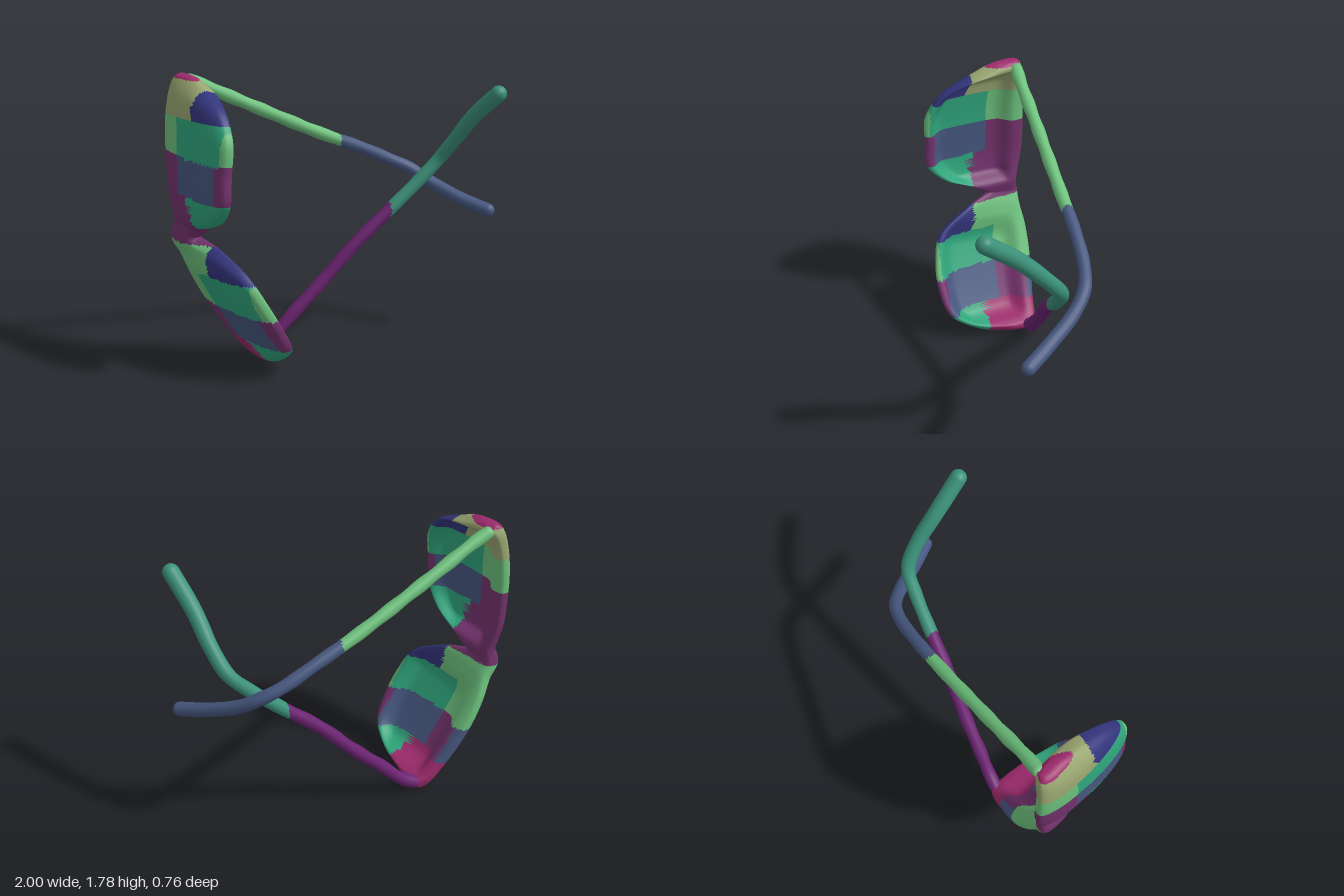
import * as THREE from 'three';

const GREEN = 0x6cc07c, SLATE = 0x46577f, PURPLE = 0x6a2270, TEAL = 0x3a9078;
const MINT = 0x2fa57c, INDIGO = 0x33357c, PLUM = 0x74336e, MAGENTA = 0x9c2a6c, TAN = 0x98a470;

const smooth = THREE.MathUtils.smoothstep;

// Splits a geometry into one mesh per colour, keeping its normals
function paint(geometry, name, colourAt) {
  const group = new THREE.Group();
  group.name = name;
  const g = geometry.toNonIndexed();
  const p = g.attributes.position, n = g.attributes.normal;
  const bins = new Map();
  for (let i = 0; i < p.count; i += 3) {
    const c = new THREE.Vector3();
    for (let k = 0; k < 3; k++) c.add(new THREE.Vector3().fromBufferAttribute(p, i + k));
    c.divideScalar(3);
    const colour = colourAt(c);
    if (!bins.has(colour)) bins.set(colour, { pos: [], nor: [] });
    const bin = bins.get(colour);
    for (let k = i; k < i + 3; k++) {
      bin.pos.push(p.getX(k), p.getY(k), p.getZ(k));
      bin.nor.push(n.getX(k), n.getY(k), n.getZ(k));
    }
  }
  let id = 1;
  for (const [color, bin] of bins) {
    const part = new THREE.BufferGeometry();
    part.setAttribute('position', new THREE.Float32BufferAttribute(bin.pos, 3));
    part.setAttribute('normal', new THREE.Float32BufferAttribute(bin.nor, 3));
    const mesh = new THREE.Mesh(part, new THREE.MeshStandardMaterial({ color }));
    mesh.name = `${name}Patch${id++}`;
    group.add(mesh);
  }
  return group;
}

// Both lenses and the bridge: sections lofted between a back and a front rim
function frontGeometry() {
  const curve = pts => new THREE.CatmullRomCurve3(pts.map(q => new THREE.Vector3(...q)));
  const back = curve([
    [-.86, 1.765, -.31], [-.9, 1.72, -.34], [-.935, 1.6, -.355], [-.95, 1.45, -.365],
    [-.95, 1.28, -.365], [-.945, 1.1, -.355], [-.93, .98, -.33], [-.92, .9, -.315],
    [-.94, .81, -.325], [-.895, .72, -.33], [-.84, .59, -.355], [-.77, .45, -.365],
    [-.68, .3, -.36], [-.585, .165, -.345], [-.49, .065, -.335], [-.425, .02, -.31]]);
  const front = curve([
    [-.84, 1.765, -.2], [-.82, 1.7, 0], [-.825, 1.6, .2], [-.83, 1.46, .295],
    [-.845, 1.28, .3], [-.855, 1.11, .295], [-.855, .99, .18], [-.88, .9, -.02],
    [-.91, .83, -.11], [-.82, .765, .06], [-.73, .65, .25], [-.645, .5, .3],
    [-.55, .33, .3], [-.47, .185, .25], [-.43, .08, .08], [-.415, .02, -.2]]);
  const rows = 150, cols = 56, pos = [], index = [];
  const power = (a, e) => Math.sign(a) * Math.pow(Math.abs(a), e);
  const Z = new THREE.Vector3(0, 0, 1);
  for (let i = 0; i <= rows; i++) {
    const t = i / rows, B = back.getPoint(t), F = front.getPoint(t);
    const T = back.getTangent(t).add(front.getTangent(t)).setZ(0).normalize();
    const n = Z.clone().cross(T);
    const s = t * 15;
    const end = Math.min(1, Math.min(s, 15 - s) / .8);
    const h = .055 * Math.sqrt(1 - (1 - end) ** 2);
    // hollow of each lens, fading out at its upper and lower rim
    const hollow = smooth(s, .9, 2) * (1 - smooth(s, 6, 7)) + smooth(s, 9.4, 10.5) * (1 - smooth(s, 13, 14.1));
    const wide = smooth(B.distanceTo(F), .1, .55);
    for (let j = 0; j < cols; j++) {
      const a = j / cols * Math.PI * 2;
      const v = power(Math.cos(a), .6), w = power(Math.sin(a), .6);
      const u = (v + 1) / 2;
      let off = w * h - .03 * wide * (1 - v * v);
      if (w > 0) off -= .065 * hollow * smooth(u, .1, .28) * (1 - smooth(u, .82, .95));
      const q = B.clone().lerp(F, i === 0 || i === rows ? .5 : u).addScaledVector(n, off);
      pos.push(q.x, q.y, q.z);
      if (i < rows) {
        const k = (j + 1) % cols, r = i * cols, m = r + cols;
        index.push(r + j, m + j, r + k, r + k, m + j, m + k);
      }
    }
  }
  const g = new THREE.BufferGeometry();
  g.setAttribute('position', new THREE.Float32BufferAttribute(pos, 3));
  g.setIndex(index);
  g.computeVertexNormals();
  return g;
}

// Bands of colour repeated on both lenses
function lensColour({ y, z }) {
  const s = y > .84 ? y - .93 : y;
  if (y > 1.75) return MAGENTA;
  if (y > .8 && y < .92) return PLUM;
  if (s > .62) return z > 0 ? INDIGO : y > 1 ? TAN : GREEN;
  if (s > .4) return z > -.12 && z < .27 ? MINT : GREEN;
  if (s > .18) return z > -.1 ? (z > .24 ? PLUM : SLATE) : (y < .5 && z < -.31 ? SLATE : PLUM);
  return z > -.01 ? MINT : y < .5 ? MAGENTA : PLUM;
}

// Temple arm: a slightly lumpy tube that thickens to a rounded tip
function temple(name, points, r0, r1, colourAt) {
  const path = new THREE.CatmullRomCurve3(points.map(q => new THREE.Vector3(...q)));
  const segments = 120, sides = 16;
  const g = new THREE.TubeGeometry(path, segments, 1, sides);
  const p = g.attributes.position, q = new THREE.Vector3();
  for (let i = 0; i <= segments; i++) {
    const t = i / segments, c = path.getPointAt(t);
    const r = r0 + (r1 - r0) * smooth(t, .6, 1) + .003 * Math.sin(t * 62) * (1 - t);
    for (let j = 0; j <= sides; j++) {
      const k = i * (sides + 1) + j;
      q.fromBufferAttribute(p, k).sub(c).multiplyScalar(r).add(c);
      p.setXYZ(k, q.x, q.y, q.z);
    }
  }
  const group = paint(g, name, colourAt);
  [[0, r0], [1, r1]].forEach(([t, r]) => {
    const c = path.getPointAt(t);
    const cap = new THREE.Mesh(new THREE.SphereGeometry(r, 20, 14),
      new THREE.MeshStandardMaterial({ color: colourAt(c) }));
    cap.position.copy(c);
    cap.name = t ? `${name}Tip` : `${name}Hinge`;
    group.add(cap);
  });
  return group;
}

export function createModel() {
  const model = new THREE.Group();
  model.name = 'eyeglasses';
  model.add(paint(frontGeometry(), 'lensFrame', lensColour));
  model.add(temple('upperTemple', [
    [-.84, 1.725, -.295], [-.75, 1.685, -.295], [-.5, 1.565, -.31], [0, 1.33, -.335], [.3, 1.205, -.345],
    [.5, 1.11, -.335], [.62, 1.05, -.3], [.72, .97, -.21], [.85, .88, -.03], [.955, .83, .115]],
  .038, .043, c => c.x < .14 ? GREEN : SLATE));
  model.add(temple('lowerTemple', [
    [-.42, .05, -.28], [-.33, .105, -.27], [-.2, .235, -.255], [0, .43, -.235], [.2, .64, -.205], [.43, .84, -.18],
    [.62, 1.01, -.155], [.74, 1.14, -.125], [.79, 1.27, -.03], [.82, 1.45, .14], [.865, 1.61, .33]],
  .041, .05, c => c.x < .41 ? PURPLE : TEAL));
  return model;
}
